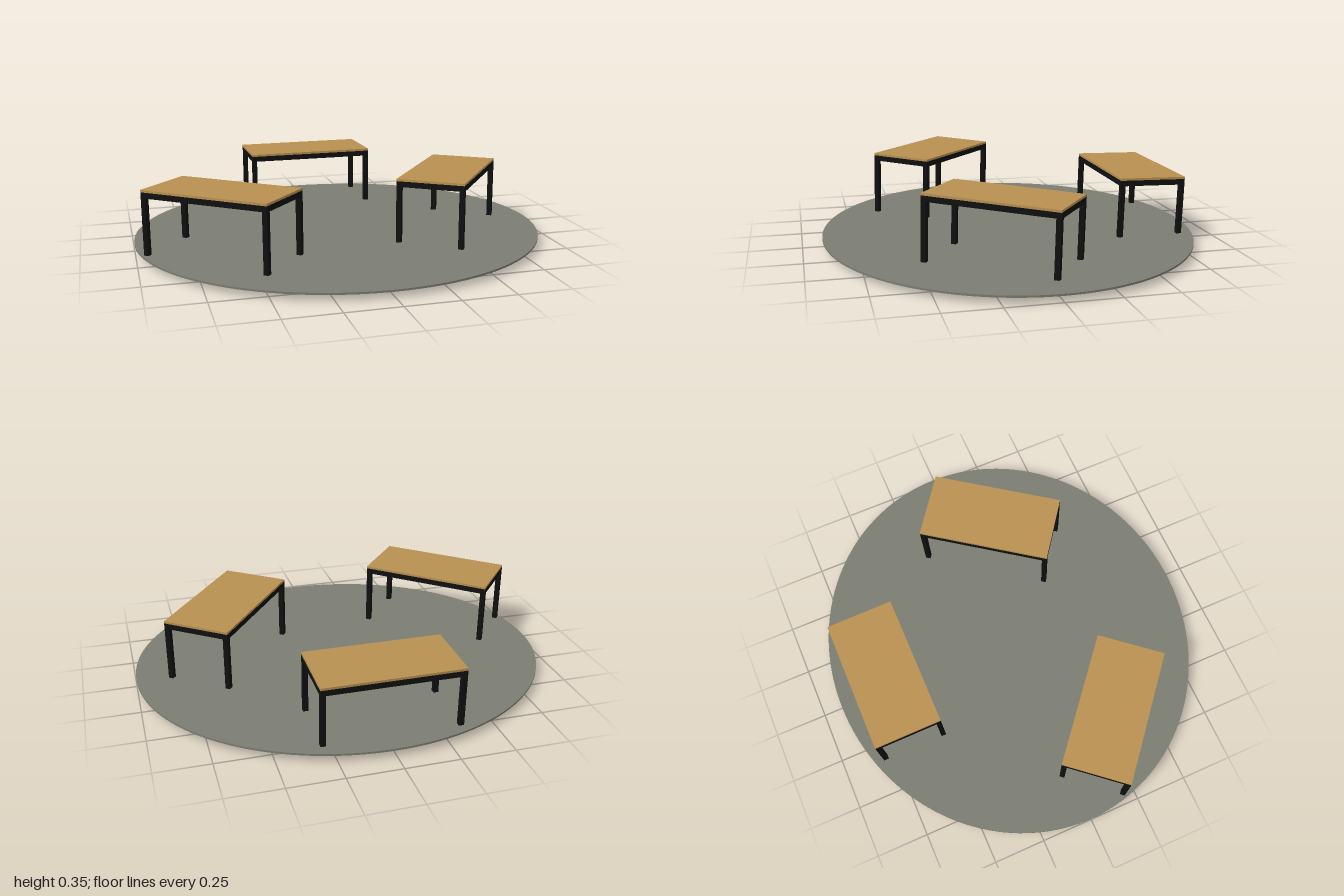
import * as THREE from 'three';

const stone = new THREE.MeshStandardMaterial({ color: 0x7b7d72 });
const wood = new THREE.MeshStandardMaterial({ color: 0xb89050 });
const metal = new THREE.MeshStandardMaterial({ color: 0x101010 });

const LENGTH = 0.647, DEPTH = 0.326, HEIGHT = 0.32;
const BAR = 0.024, TOP = 0.011, RAIL = 0.027;

function box(name, size, pos, material) {
  const mesh = new THREE.Mesh(new THREE.BoxGeometry(...size), material);
  mesh.position.set(...pos);
  mesh.name = name;
  return mesh;
}

// One table: wooden top on an open frame of four rails and four legs
function createTable() {
  const table = new THREE.Group();
  table.add(box('tableTop', [LENGTH, TOP, DEPTH], [0, HEIGHT - TOP / 2, 0], wood));

  const x = (LENGTH - BAR) / 2, z = (DEPTH - BAR) / 2;
  const legHeight = HEIGHT - TOP, railY = legHeight - RAIL / 2;
  for (const s of [-1, 1]) {
    table.add(box('longRail', [LENGTH - 2 * BAR, RAIL, BAR], [0, railY, s * z], metal));
    table.add(box('shortRail', [BAR, RAIL, DEPTH - 2 * BAR], [s * x, railY, 0], metal));
    for (const t of [-1, 1]) {
      table.add(box('leg', [BAR, legHeight, BAR], [s * x, legHeight / 2, t * z], metal));
    }
  }
  return table;
}

export function createModel() {
  const model = new THREE.Group();
  model.name = 'tablesOnDisc';

  // Thin oval floor
  const floor = new THREE.Mesh(new THREE.CylinderGeometry(1, 1, 0.009, 128), stone);
  floor.scale.z = 0.905;
  floor.position.y = 0.033;
  floor.name = 'ovalFloor';
  model.add(floor);

  // Three tables standing on a plane that rises slightly to the front
  const tables = new THREE.Group();
  tables.name = 'tables';
  tables.position.y = 0.019;
  tables.rotation.x = -0.0237;
  const places = [
    ['backTable', -0.018, -0.644, 0],
    ['rightTable', -0.614, 0.277, -0.703],
    ['leftTable', 0.525, 0.142, 0.936],
  ];
  for (const [name, x, z, turn] of places) {
    const table = createTable();
    table.name = name;
    table.position.set(x, 0, z);
    table.rotation.y = turn;
    tables.add(table);
  }
  model.add(tables);
  return model;
}
